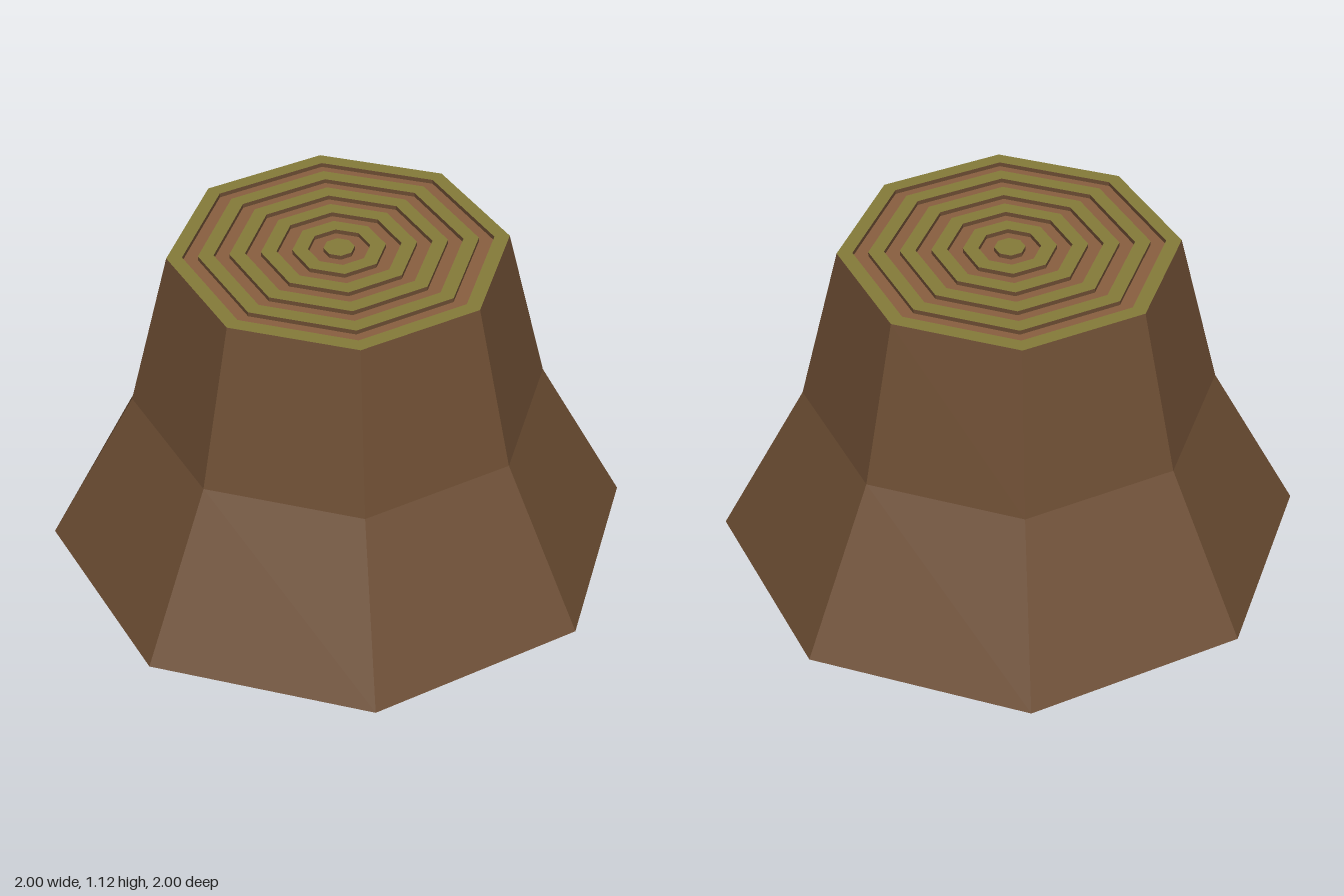
import * as THREE from 'three';

const SIDES = 8;
const TOP = 1.12;
const TOP_RADIUS = 0.56;
const BANDS = 11;
const GROOVE = 0.015;

const material = (color) => new THREE.MeshStandardMaterial({ color, flatShading: true });

// Eight-sided surface swept from [radius, height] points
function facetedLathe(name, profile, mat) {
  const points = profile.map(([r, y]) => new THREE.Vector2(r, y));
  const mesh = new THREE.Mesh(new THREE.LatheGeometry(points, SIDES), mat);
  mesh.name = name;
  return mesh;
}

export function createModel() {
  const model = new THREE.Group();
  model.name = 'treeStump';

  const bark = material(0x6b4c32);
  const paleWood = material(0x857c3a);
  const darkWood = material(0x8a6040);

  // Flared trunk with closed underside
  model.add(facetedLathe('trunk', [[0, 0], [1, 0], [0.7, 0.56], [TOP_RADIUS, TOP]], bark));

  // Growth rings: raised pale bands alternate with shallow dark grooves
  const rings = new THREE.Group();
  rings.name = 'growthRings';
  const step = TOP_RADIUS / BANDS;
  for (let i = 0; i < BANDS; i++) {
    const inner = i * step;
    const outer = inner + step;
    const sunken = i % 2 === 1;
    const y = sunken ? TOP - GROOVE : TOP;
    rings.add(facetedLathe(sunken ? 'darkRing' : 'paleRing', [[outer, y], [inner, y]], sunken ? darkWood : paleWood));
    if (sunken) {
      rings.add(facetedLathe('grooveOuterWall', [[outer, TOP], [outer, y]], bark));
      rings.add(facetedLathe('grooveInnerWall', [[inner, y], [inner, TOP]], bark));
    }
  }
  model.add(rings);

  return model;
}
